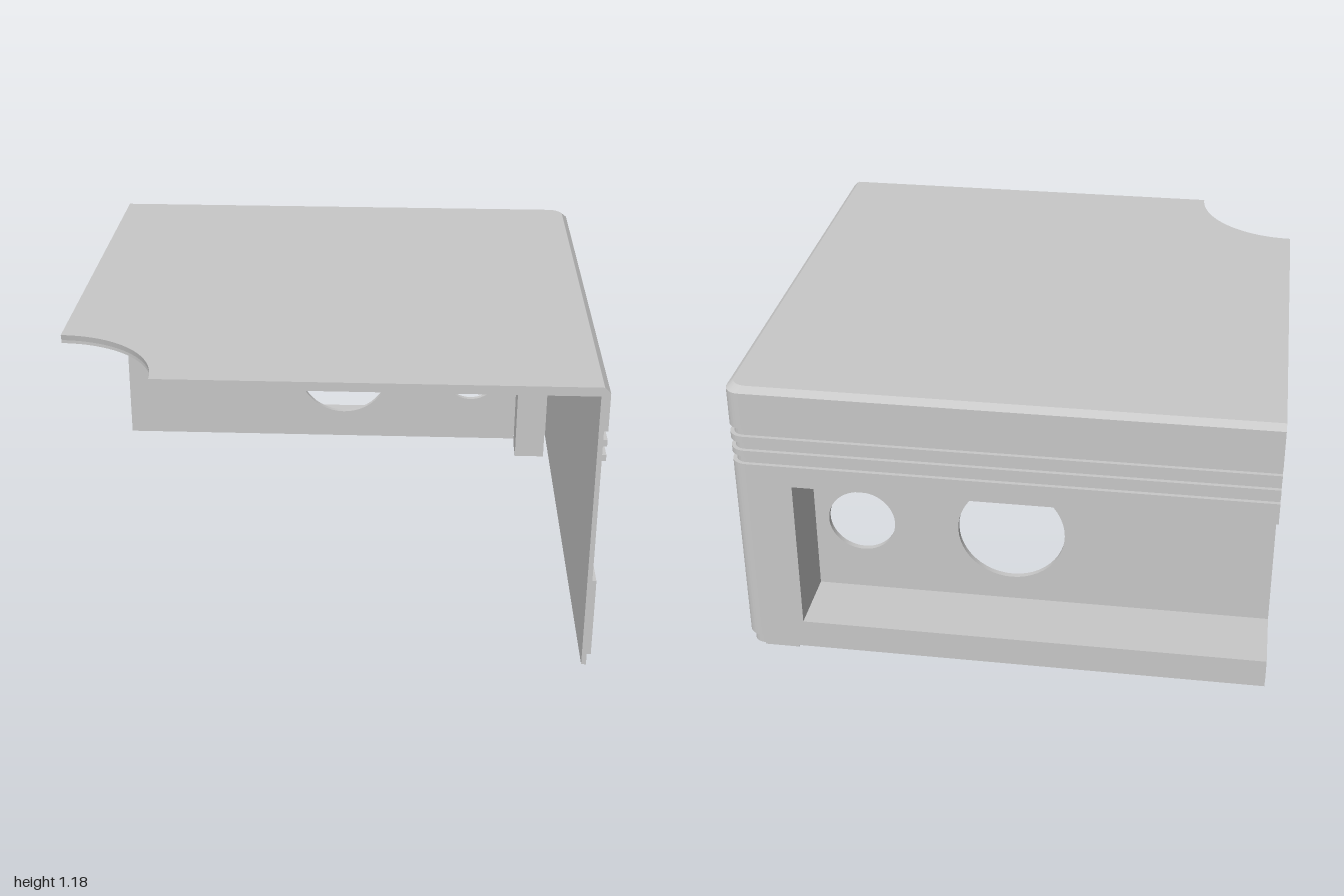
import * as THREE from 'three';
import { toCreasedNormals } from 'three/addons/utils/BufferGeometryUtils.js';

export function createModel() {
  const model = new THREE.Group();
  model.name = 'cornerEnclosure';
  const grey = new THREE.MeshStandardMaterial({ color: 0xc8c8c8 });
  grey.name = 'casing grey';

  const add = (name, geometry) => {
    const mesh = new THREE.Mesh(geometry, grey);
    mesh.name = name;
    model.add(mesh);
    return mesh;
  };
  // Box given by its limits
  const box = (name, x0, x1, y0, y1, z0, z1) =>
    add(name, new THREE.BoxGeometry(x1 - x0, y1 - y0, z1 - z0)
      .translate((x0 + x1) / 2, (y0 + y1) / 2, (z0 + z1) / 2));
  const extrude = (shape, depth) =>
    new THREE.ExtrudeGeometry(shape, { depth, bevelEnabled: false, curveSegments: 24 });
  // Plan shape (x, -z) raised from y0 to y1
  const raise = (shape, y0, y1) =>
    extrude(shape, y1 - y0).rotateX(-Math.PI / 2).translate(0, y0, 0);
  const rect = (x0, x1, y0, y1, Type = THREE.Shape) =>
    new Type([[x0, y0], [x1, y0], [x1, y1], [x0, y1]].map(p => new THREE.Vector2(...p)));
  const circle = (x, y, r) => new THREE.Path().absarc(x, y, r, 0, Math.PI * 2, true);

  const R = 0.06, IN = 0.967, GROOVE = 0.015;

  // L-shaped slice of the back and side walls, with a rounded corner
  const wallPlan = (inset, xStart, zEnd) => {
    const s = new THREE.Shape();
    s.moveTo(xStart, 1 - inset);
    s.lineTo(1 - R, 1 - inset);
    s.absarc(1 - R, 1 - R, R - inset, Math.PI / 2, 0, true);
    s.lineTo(1 - inset, -zEnd);
    s.lineTo(IN, -zEnd);
    s.lineTo(IN, IN);
    s.lineTo(xStart, IN);
    s.closePath();
    return s;
  };

  // Wall bands from bottom to top: y0, y1, inset, start of back wall, end of side wall
  const bands = [
    ['bottomLip', 0.037, 0.083, GROOVE, -1, 1],
    ['lowerWall', 0.083, 0.165, 0, -1, 1],
    ['wallBesideOpening', 0.165, 0.4, 0, 0.772, 1],
    ['wallBesideVent', 0.4, 0.775, 0, 0.772, 0.105],
    ['wallAboveOpening', 0.775, 0.86, 0, -1, 0.105],
    ['lowGroove', 0.86, 0.893, GROOVE, -1, 1],
    ['lowRib', 0.893, 0.917, 0, -1, 1],
    ['middleGroove', 0.917, 0.949, GROOVE, -1, 1],
    ['highRib', 0.949, 0.976, 0, -1, 1],
    ['highGroove', 0.976, 1.008, GROOVE, -1, 1],
    ['upperWall', 1.008, 1.142, 0, -1, 1],
  ];
  for (const [name, y0, y1, inset, xStart, zEnd] of bands)
    add(name, toCreasedNormals(raise(wallPlan(inset, xStart, zEnd), y0, y1), 0.6));

  // Top plate with a round notch, one rounded corner and a chamfered rim
  const top = new THREE.Shape();
  top.moveTo(-1, 1);
  top.lineTo(1 - R, 1);
  top.absarc(1 - R, 1 - R, R, Math.PI / 2, 0, true);
  top.lineTo(1, -1);
  top.lineTo(-0.61, -1);
  top.absarc(-1, -1, 0.39, 0, Math.PI / 2, false);
  top.closePath();
  add('topPlate', toCreasedNormals(raise(top, 1.142, 1.154), 0.6));
  const rim = raise(top, 1.154, 1.176);
  const p = rim.attributes.position;
  for (let i = 0; i < p.count; i++) {
    if (p.getY(i) < 1.17) continue;
    p.setX(i, -1 + (p.getX(i) + 1) * 0.989);
    p.setZ(i, 1 - (1 - p.getZ(i)) * 0.989);
  }
  rim.computeVertexNormals();
  add('topPlateChamfer', toCreasedNormals(rim, 0.5));

  // Sunken vent panel on the side wall with blind slots
  const vent = rect(-1, -0.105, 0.4, 0.86);
  for (let i = 0; i < 5; i++) {
    const z = 0.249 + i * 0.1645;
    vent.holes.push(rect(-z - 0.048, -z + 0.048, 0.468, 0.827, THREE.Path));
  }
  add('ventPanel', extrude(vent, 0.01).rotateY(Math.PI / 2).translate(0.975, 0, 0));
  box('ventBacking', IN, 0.975, 0.4, 0.86, 0.105, 1);

  // Recess in the back wall
  box('recessCeiling', -1, 0.797, 0.775, 0.8, -IN, -0.712);
  box('recessFloor', -1, 0.797, 0.142, 0.165, -IN, -0.712);
  box('recessSide', 0.772, 0.797, 0.165, 0.775, -IN, -0.712);
  const panel = rect(-1, 0.772, 0.165, 0.775);
  panel.holes.push(circle(0, 0.472, 0.207), circle(0.587, 0.472, 0.131));
  add('recessPanel', toCreasedNormals(extrude(panel, 0.022).translate(0, 0, -0.734), 0.6));

  // Corner post standing on a foot with a screw hole
  const foot = rect(0.815, 0.949, 0.815, 0.949);
  foot.holes.push(circle(0.882, 0.882, 0.016));
  add('foot', toCreasedNormals(raise(foot, 0, 0.1), 0.6));
  box('cornerPost', 0.815, 0.949, 0.1, 1.142, -0.949, -0.815);

  return model;
}
